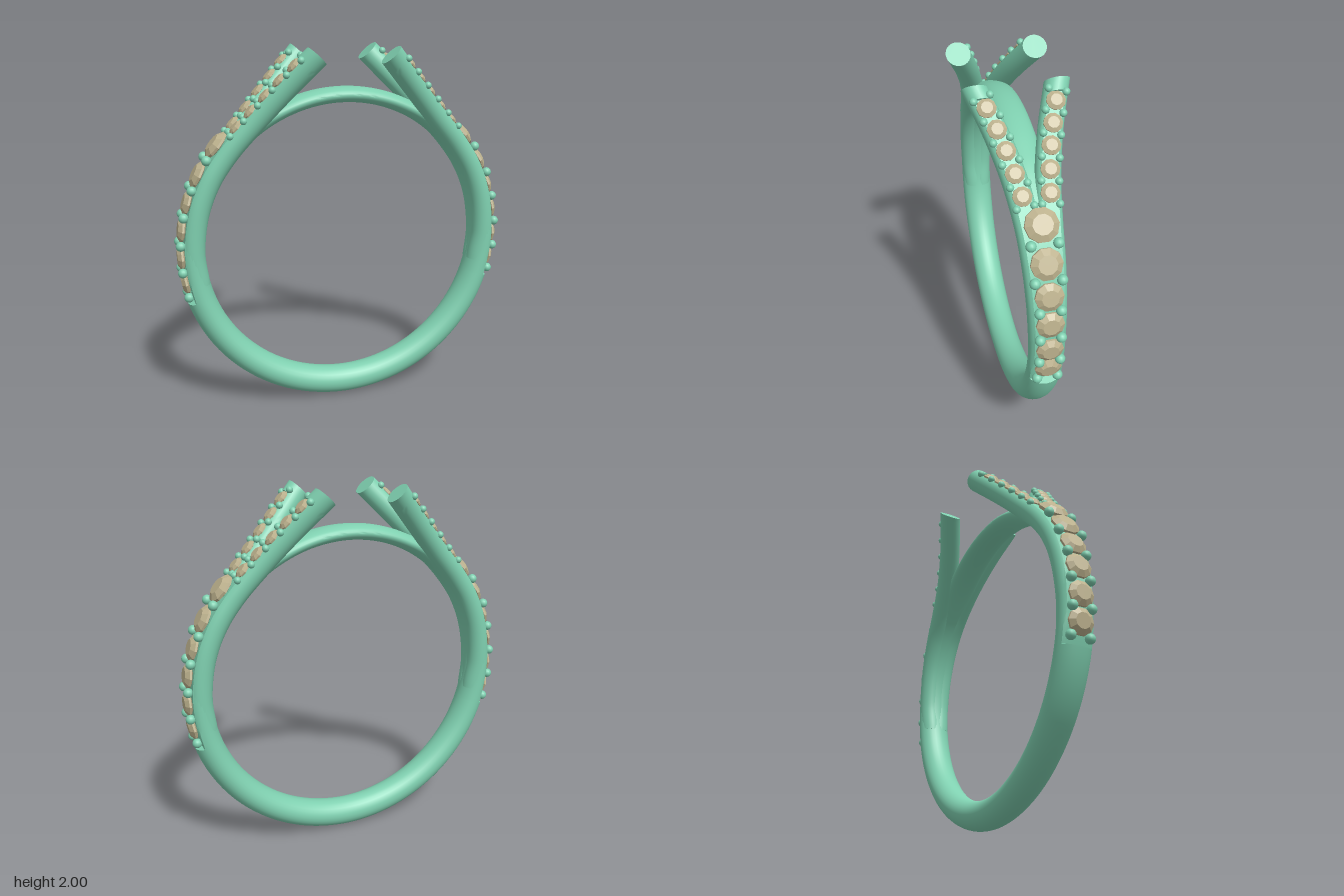
import * as THREE from 'three';
import { toCreasedNormals } from 'three/addons/utils/BufferGeometryUtils.js';

const CY = 0.93, INNER = 0.77, DEG = Math.PI / 180;
const metal = new THREE.MeshStandardMaterial({ color: 0x7fd0b0 });
const stone = new THREE.MeshStandardMaterial({ color: 0xbdb28e, flatShading: true });

// Piecewise linear lookup in [[x, y], ...]
function lerpTable(table, x) {
  for (let i = 1; i < table.length; i++) {
    const [x0, y0] = table[i - 1], [x1, y1] = table[i];
    if (x <= x1) return y0 + (y1 - y0) * (x - x0) / (x1 - x0);
  }
  return table[table.length - 1][1];
}

// Sweeps oval sections {c, n, h, w, cut}: h along n, w along z, shaved flat above cut
function sweep(sections, capped) {
  const SIDES = 28, pos = [], idx = [];
  for (const { c, n, h, w, cut } of sections) {
    for (let j = 0; j < SIDES; j++) {
      const a = j / SIDES * Math.PI * 2;
      const u = Math.min(Math.cos(a) * h, cut);
      pos.push(c.x + n.x * u, c.y + n.y * u, c.z + Math.sin(a) * w);
    }
  }
  for (let i = 0; i < sections.length - 1; i++) {
    for (let j = 0; j < SIDES; j++) {
      const k = (j + 1) % SIDES, p = i * SIDES, q = p + SIDES;
      idx.push(p + j, q + j, p + k, q + j, q + k, p + k);
    }
  }
  if (capped) {
    const last = (sections.length - 1) * SIDES;
    for (let j = 1; j < SIDES - 1; j++) {
      idx.push(0, j, j + 1, last, last + j + 1, last + j);
    }
  }
  const g = new THREE.BufferGeometry();
  g.setAttribute('position', new THREE.Float32BufferAttribute(pos, 3));
  g.setIndex(idx);
  return toCreasedNormals(g, 0.6);
}

function mesh(name, geometry, material) {
  const m = new THREE.Mesh(geometry, material);
  m.name = name;
  return m;
}

// Full hoop: thick at the bottom, thin bridge at the top, shaved under the stones
function makeBand() {
  const thickness = [[-90, 0.16], [-17.5, 0.15], [20, 0.13], [45, 0.105], [65, 0.085], [90, 0.085]];
  const width = [[-90, 0.082], [-20, 0.09], [30, 0.09], [90, 0.085]];
  const half = [];
  for (let a = -90; a <= 90; a += 2) half.push(a);
  half.push(-17.6, -17.4);
  half.sort((p, q) => p - q);
  const angles = [...half, ...half.slice(0, -1).reverse().map(a => 180 - a)];
  const sections = angles.map(deg => {
    const up = deg > 90 ? 180 - deg : deg;
    const n = new THREE.Vector3(Math.cos(deg * DEG), Math.sin(deg * DEG), 0);
    const h = lerpTable(thickness, up) / 2, r = INNER + h;
    const c = n.clone().multiplyScalar(r).setY(CY + n.y * r);
    return { c, n, h, w: lerpTable(width, up), cut: up > -17.5 ? 0.882 - r : 1 };
  });
  return mesh('band', sweep(sections, false), metal);
}

// Faceted round stone, radius 1, table facing +y
const stoneGeometry = new THREE.LatheGeometry(
  [[0, -0.5], [1, -0.1], [1, 0.06], [0.6, 0.33], [0, 0.33]].map(p => new THREE.Vector2(...p)), 10);
const beadGeometry = new THREE.SphereGeometry(1, 14, 10);

function addStone(group, position, n, radius) {
  const m = mesh('stone', stoneGeometry, stone);
  m.position.copy(position);
  m.quaternion.setFromUnitVectors(new THREE.Vector3(0, 1, 0), n);
  m.scale.setScalar(radius);
  group.add(m);
}

function addBead(group, position, radius) {
  const m = mesh('bead', beadGeometry, metal);
  m.position.copy(position);
  m.scale.setScalar(radius);
  group.add(m);
}

// Row of large stones along the side of the hoop
function makeSideStones() {
  const group = new THREE.Group();
  group.name = 'sideStones';
  const at = (deg, r, z) => new THREE.Vector3(Math.cos(deg * DEG) * r, CY + Math.sin(deg * DEG) * r, z);
  const rows = [[-10.2, 0.068], [-1.3, 0.068], [8.6, 0.07], [18.1, 0.071], [28.2, 0.078], [39.7, 0.083]];
  for (const [deg, r] of rows) {
    const n = new THREE.Vector3(Math.cos(deg * DEG), Math.sin(deg * DEG), 0);
    addStone(group, at(deg, 0.896, 0), n, r);
  }
  for (const deg of [-14.8, -5.8, 3.6, 13.3, 23, 34]) {
    for (const s of [-1, 1]) addBead(group, at(deg, 0.902, s * (deg > 20 ? 0.065 : 0.052)), 0.026);
  }
  return group;
}

// One prong of the split shoulder with its small stones; s picks front or back
function makeArm(s) {
  const group = new THREE.Group();
  group.name = s > 0 ? 'frontArm' : 'backArm';
  const R = 0.835;
  const points = [[-12, 0.02], [0, 0.028], [15, 0.035], [28, 0.042], [40, 0.052]].map(([deg, z]) =>
    new THREE.Vector3(Math.cos(deg * DEG) * R, CY + Math.sin(deg * DEG) * R, z * s));
  for (const [x, y, z] of [[0.5, 1.625, 0.078], [0.35, 1.79, 0.128], [0.195, 1.955, 0.198]]) {
    points.push(new THREE.Vector3(x, y, z * s));
  }
  const curve = new THREE.CatmullRomCurve3(points, false, 'centripetal');
  const normalAt = t => {
    const d = curve.getTangent(t);
    return new THREE.Vector3(d.y, -d.x, 0).normalize();
  };
  const steps = [];
  for (let i = 0; i <= 60; i++) steps.push(i / 60);
  steps.push(0.958, 0.96);
  steps.sort((a, b) => a - b);
  const sections = steps.map(t => ({
    c: curve.getPoint(t), n: normalAt(t), h: 0.063, w: 0.063, cut: t < 0.959 ? 0.047 : 1,
  }));
  group.add(mesh('prong', sweep(sections, true), metal));

  // Curve parameter at a given height
  const atY = y => {
    let lo = 0, hi = 1;
    for (let i = 0; i < 30; i++) {
      const mid = (lo + hi) / 2;
      if (curve.getPoint(mid).y < y) lo = mid; else hi = mid;
    }
    return lo;
  };
  for (const y of [1.567, 1.647, 1.727, 1.802, 1.877]) {
    const t = atY(y), n = normalAt(t);
    addStone(group, curve.getPoint(t).addScaledVector(n, 0.05), n, 0.047);
  }
  for (const y of [1.53, 1.607, 1.687, 1.765, 1.84, 1.912]) {
    const t = atY(y), n = normalAt(t);
    const side = new THREE.Vector3().crossVectors(n, curve.getTangent(t)).normalize();
    for (const k of [-1, 1]) {
      addBead(group, curve.getPoint(t).addScaledVector(n, 0.05).addScaledVector(side, k * 0.042), 0.019);
    }
  }
  return group;
}

export function createModel() {
  const model = new THREE.Group();
  model.name = 'splitShankRing';
  model.add(makeBand());
  for (const side of ['left', 'right']) {
    const shoulder = new THREE.Group();
    shoulder.name = side + 'Shoulder';
    shoulder.add(makeSideStones(), makeArm(1), makeArm(-1));
    if (side === 'right') shoulder.rotation.y = Math.PI;
    model.add(shoulder);
  }
  return model;
}
